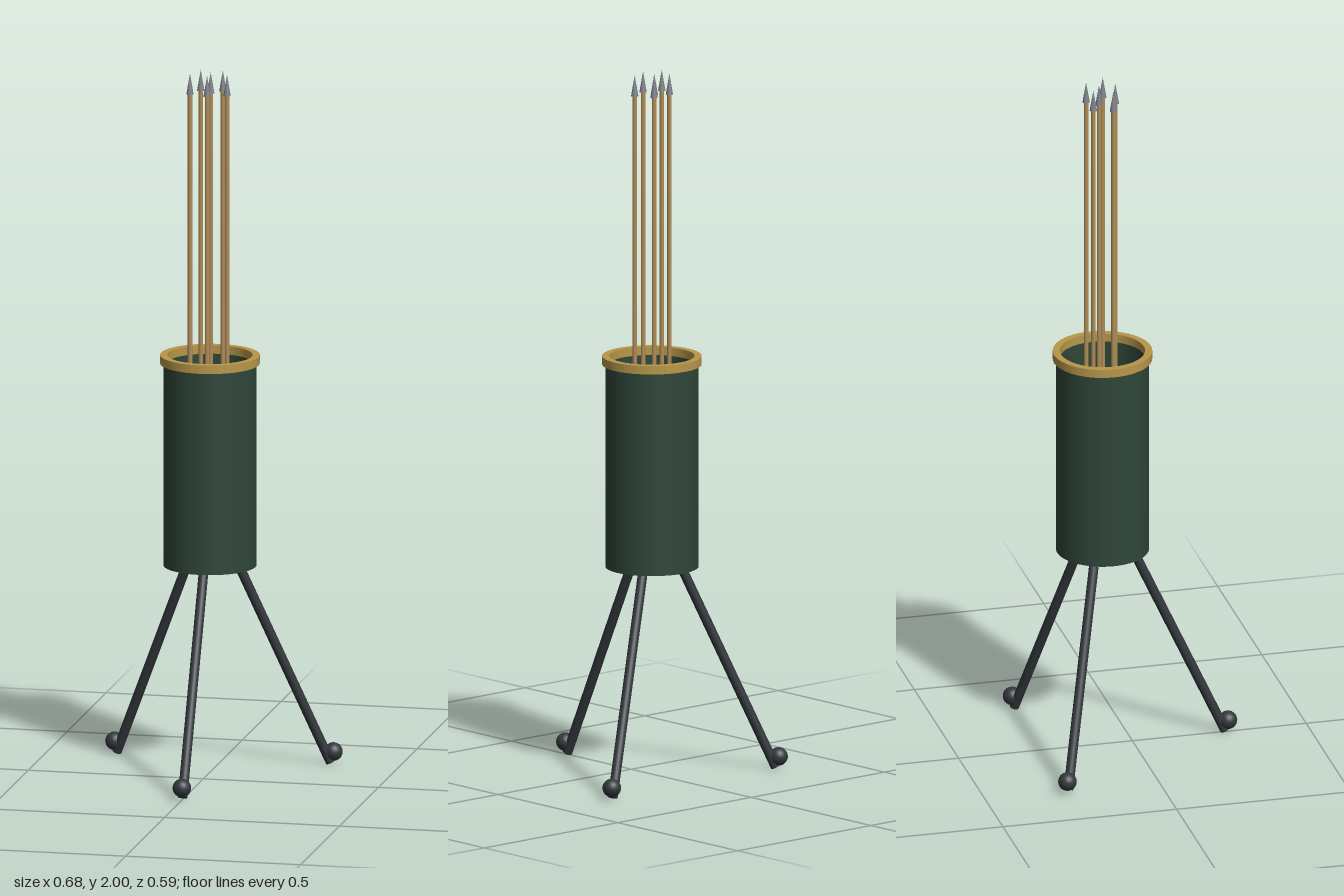
import * as THREE from 'three';

function mat(name, color, side = THREE.FrontSide) {
  const m = new THREE.MeshStandardMaterial({ color, side });
  m.name = name;
  return m;
}

// Lathe with hard corners: every profile edge becomes its own smooth band.
function sharpLathe(name, points, material) {
  const group = new THREE.Group();
  group.name = name;
  for (let i = 0; i < points.length - 1; i++) {
    const pair = [points[i], points[i + 1]].map(([r, y]) => new THREE.Vector2(r, y));
    const band = new THREE.Mesh(new THREE.LatheGeometry(pair, 48), material);
    band.name = name + 'Band';
    group.add(band);
  }
  return group;
}

export function createModel() {
  const model = new THREE.Group();
  model.name = 'arrowStand';

  const leather = mat('dark green', 0x2f4638);
  const gold = mat('gold', 0xb8974a);
  const iron = mat('dark iron', 0x33383d);
  const wood = mat('wood', 0xb08d57);
  const steel = mat('steel', 0x7c8087);
  const red = mat('red feather', 0xc8322e);
  const blue = mat('blue feather', 0x2f5fc0);
  const green = mat('green feather', 0x3a8f3a);
  const yellow = mat('yellow feather', 0xd0a030);
  const white = mat('pale feather', 0xb8b8bc);

  function add(parent, name, geometry, material, x = 0, y = 0, z = 0) {
    const mesh = new THREE.Mesh(geometry, material);
    mesh.name = name;
    mesh.position.set(x, y, z);
    parent.add(mesh);
    return mesh;
  }

  // Everything but the arrows is arranged around the stand's upright axis
  const stand = new THREE.Group();
  stand.name = 'stand';
  stand.position.z = -0.086;
  model.add(stand);

  // Hollow container: underside, outer wall, lip, inner wall, floor
  stand.add(sharpLathe('container', [
    [0, 0.593], [0.13, 0.593], [0.13, 1.18], [0.12, 1.18], [0.12, 0.61], [0, 0.61],
  ], leather));

  // Flat rim ring
  stand.add(sharpLathe('rim', [
    [0.119, 1.17], [0.139, 1.17], [0.139, 1.194], [0.119, 1.194], [0.119, 1.17],
  ], gold));

  // Three splayed legs with ball feet
  const legTop = new THREE.Vector3(0, 0.6, 0.078);
  const legEnd = new THREE.Vector3(0, 0.006, 0.352);
  const legDir = legTop.clone().sub(legEnd);
  for (let i = 0; i < 3; i++) {
    const leg = new THREE.Group();
    leg.name = 'leg';
    leg.rotation.y = (i * Math.PI * 2) / 3;
    stand.add(leg);
    const rod = add(leg, 'legRod', new THREE.CylinderGeometry(0.0135, 0.0135, legDir.length(), 20), iron);
    rod.position.copy(legTop).add(legEnd).multiplyScalar(0.5);
    rod.quaternion.setFromUnitVectors(new THREE.Vector3(0, 1, 0), legDir.clone().normalize());
    add(leg, 'foot', new THREE.SphereGeometry(0.026, 24, 16), iron, 0, 0.035, 0.361);
  }

  // Arrows standing point up, feathers inside the container
  const arrows = [
    [-0.034, -0.121, blue], [0.028, -0.126, red], [0, -0.096, green],
    [-0.053, -0.068, red], [0, -0.049, yellow], [0.052, -0.072, white],
  ];
  for (const [x, z, feather] of arrows) {
    const arrow = new THREE.Group();
    arrow.name = 'arrow';
    arrow.position.set(x, 0, z);
    model.add(arrow);
    add(arrow, 'shaft', new THREE.CylinderGeometry(0.0065, 0.0065, 1.33, 12), wood, 0, 1.275, 0);
    add(arrow, 'arrowhead', new THREE.ConeGeometry(0.0105, 0.06, 12), steel, 0, 1.97, 0);
    for (let k = 0; k < 3; k++) {
      const vane = add(arrow, 'feather', new THREE.BoxGeometry(0.068, 0.12, 0.003), feather, 0, 0.72, 0);
      vane.rotation.y = (k * Math.PI) / 3;
    }
  }

  return model;
}
